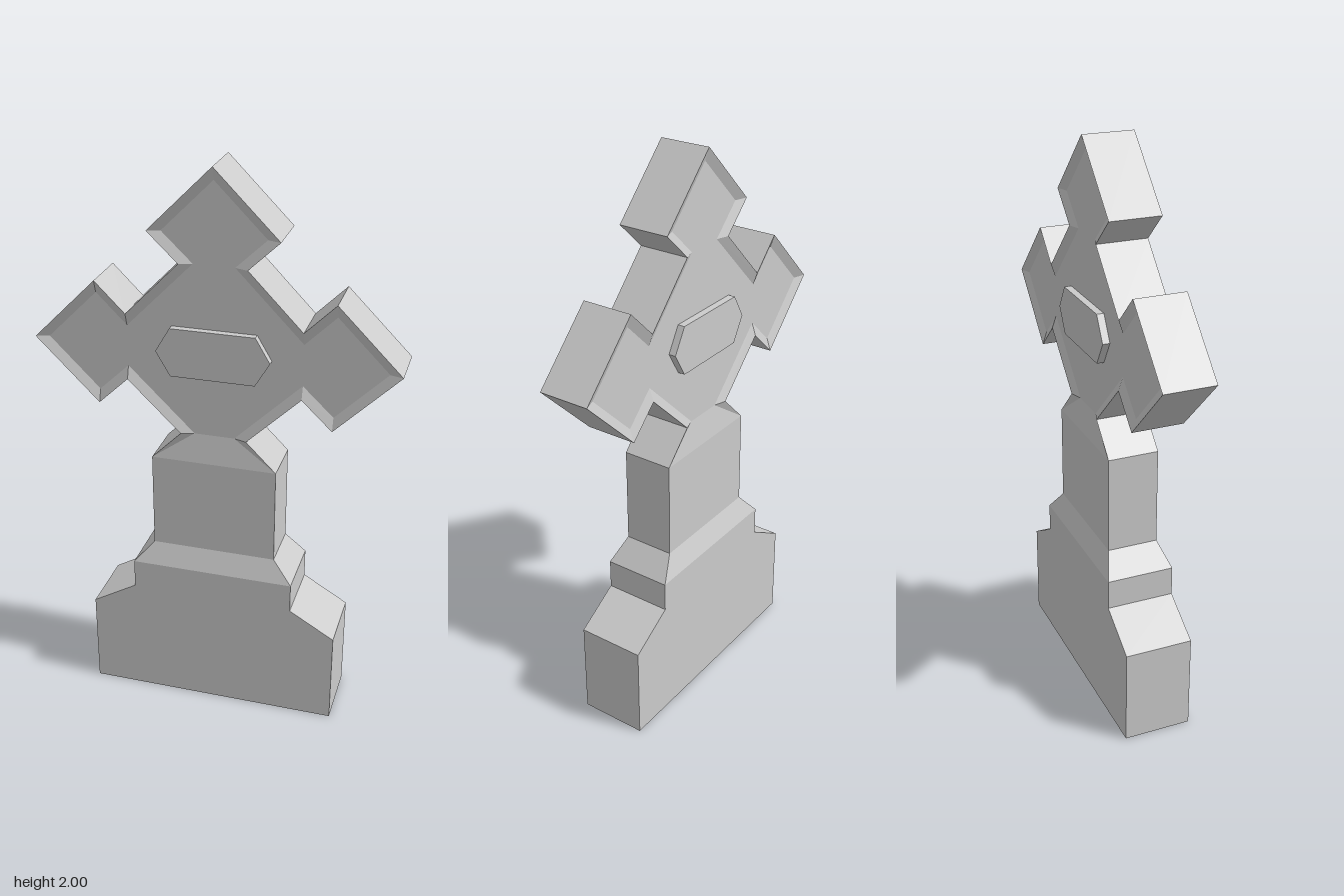
import * as THREE from 'three';

const material = new THREE.MeshStandardMaterial({ color: 0xcccccc, flatShading: true });
const BASE = 0.12, UPPER = 0.09, PANEL = 0.075, INSET = 0.045;

// Right half outlines, bottom to top: [x, y, half depth]
const pedestal = [
  [0.45, 0, BASE], [0.45, 0.345, BASE], [0.29, 0.44, BASE], [0.29, 0.545, BASE],
  [0.22, 0.625, UPPER],
];
// Cross outline with the direction in which each corner moves inward: [x, y, dx, dy]
const cross = [
  [0.115, 1.075, -1, 0], [0.3, 1.255, 0, 1], [0.405, 1.155, 0, 1], [0.625, 1.375, -1, 0],
  [0.405, 1.595, 0, -1], [0.3, 1.49, 0, -1], [0.115, 1.68, -1, 0], [0.22, 1.78, -1, 0],
  [0, 2, 0, -1],
];

// Adds the left half of a right-hand outline
function mirrored(half) {
  const left = half.filter(p => p[0] > 0).reverse().map(([x, ...rest]) => [-x, ...rest]);
  return [...half, ...left];
}

// Flat-sided surface from four-cornered faces
function quads(faces) {
  const pos = [];
  for (const [a, b, c, d] of faces) pos.push(...a, ...b, ...c, ...a, ...c, ...d);
  const g = new THREE.BufferGeometry();
  g.setAttribute('position', new THREE.Float32BufferAttribute(pos, 3));
  g.computeVertexNormals();
  return g;
}

function flat(points, z) {
  const shape = new THREE.Shape(points.map(p => new THREE.Vector2(p[0], p[1])));
  return new THREE.ShapeGeometry(shape).translate(0, 0, z);
}

function add(group, name, geometry) {
  const mesh = new THREE.Mesh(geometry, material);
  mesh.name = name;
  group.add(mesh);
}

// One broad face of the monument; used for front and back
function createFace(name) {
  const face = new THREE.Group();
  face.name = name;

  add(face, 'pedestalFace', flat(mirrored(pedestal.slice(0, 4)), BASE));
  add(face, 'pedestalShoulder', quads([
    [[-0.29, 0.545, BASE], [0.29, 0.545, BASE], [0.22, 0.625, UPPER], [-0.22, 0.625, UPPER]],
  ]));
  add(face, 'stemFace', flat(mirrored([[0.22, 0.625], [0.22, 0.97]]), UPPER));

  // Sunken cross panel and its sloping rim
  const outer = mirrored(cross).map(([x, y]) => [x, y, UPPER]);
  const inner = mirrored(cross.map(([x, y, dx, dy]) => [x + dx * INSET, y + dy * INSET, PANEL]));
  const footR = [0.22, 0.97, UPPER], footL = [-0.22, 0.97, UPPER];
  const last = outer.length - 1;
  const rim = [
    [footL, footR, inner[0], inner[last]],
    [footR, outer[0], inner[0], inner[0]],
    [outer[last], footL, inner[last], inner[last]],
  ];
  for (let i = 0; i < last; i++) rim.push([outer[i], outer[i + 1], inner[i + 1], inner[i]]);
  add(face, 'crossPanel', flat(inner, PANEL));
  add(face, 'crossRim', quads(rim));

  // Raised six-sided plaque
  const plaque = new THREE.Shape([
    [0.195, 1.375], [0.145, 1.46], [-0.145, 1.46], [-0.195, 1.375], [-0.145, 1.29], [0.145, 1.29],
  ].map(([x, y]) => new THREE.Vector2(x, y)));
  add(face, 'plaque', new THREE.ExtrudeGeometry(plaque, { depth: 0.1 - PANEL, bevelEnabled: false })
    .translate(0, 0, PANEL));
  return face;
}

export function createModel() {
  const model = new THREE.Group();
  model.name = 'stoneCross';

  const front = createFace('frontFace');
  const back = createFace('backFace');
  back.rotation.y = Math.PI;
  model.add(front, back);

  // Edge band running round the whole outline, underside included
  const outline = mirrored([...pedestal, [0.22, 0.97, UPPER], ...cross.map(([x, y]) => [x, y, UPPER])]);
  add(model, 'edgeBand', quads(outline.map(([ax, ay, az], i) => {
    const [bx, by, bz] = outline[(i + 1) % outline.length];
    return [[ax, ay, az], [ax, ay, -az], [bx, by, -bz], [bx, by, bz]];
  })));
  return model;
}
